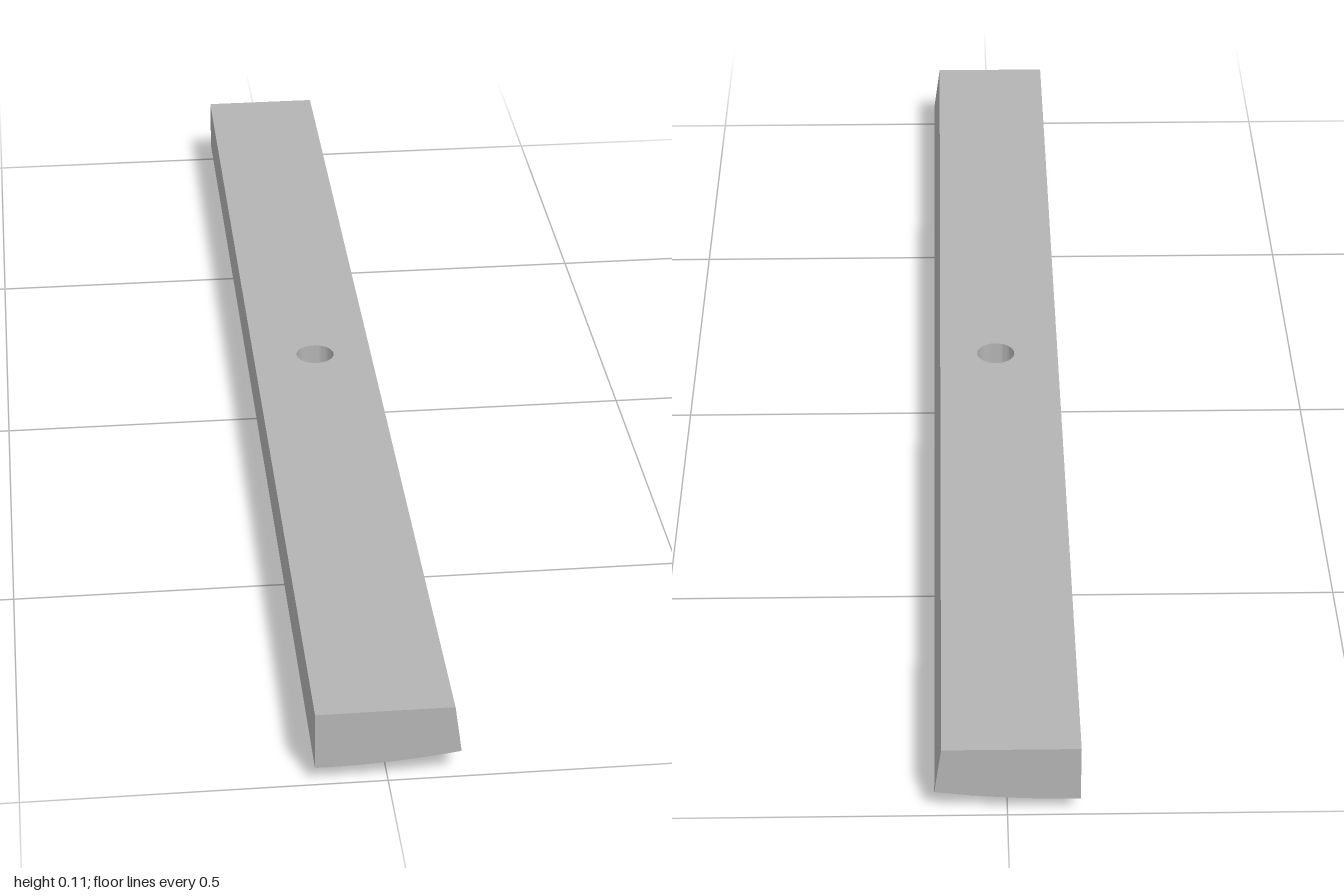
import * as THREE from 'three';
import { toCreasedNormals } from 'three/addons/utils/BufferGeometryUtils.js';

const TOP = 0.115, PAD = 0.028, HOLE_R = 0.03, MID = 0.06;

// height of the gently curved underside
const under = (x) => 0.028 + 0.014 * ((x + 0.09) / 0.19) ** 2;

// extrude a plan outline (x, z) downwards, then place its two faces by a rule
function plate(shape, place) {
  const geo = new THREE.ExtrudeGeometry(shape, { depth: 1, bevelEnabled: false, curveSegments: 20 });
  geo.rotateX(Math.PI / 2);
  const p = geo.attributes.position;
  for (let i = 0; i < p.count; i++) {
    const [x, y] = place(p.getX(i), p.getY(i) < -0.5);
    p.setX(i, x);
    p.setY(i, y);
  }
  geo.computeVertexNormals();
  return toCreasedNormals(geo, 0.5);
}

const rect = (x0, x1, z0, z1) => new THREE.Shape([
  new THREE.Vector2(x0, z0), new THREE.Vector2(x1, z0),
  new THREE.Vector2(x1, z1), new THREE.Vector2(x0, z1)]);

// pads follow the curve of the underside
const padRule = (x, low) => [x, under(x) + (low ? -PAD : 0.004)];

export function createModel() {
  const group = new THREE.Group();
  const grey = new THREE.MeshStandardMaterial({ color: 0xb4b4b4 });
  grey.name = 'plain grey';
  const add = (name, geo) => {
    const mesh = new THREE.Mesh(geo, grey);
    mesh.name = name;
    group.add(mesh);
  };

  const xs = Array.from({ length: 13 }, (_, i) => -0.1 + 0.2 * i / 12);

  // long bar halves, sharing one cross-section
  const profile = new THREE.Shape([
    ...xs.map((x) => new THREE.Vector2(x, under(x))),
    new THREE.Vector2(0.09, TOP), new THREE.Vector2(-0.1, TOP)]);
  for (const [name, z] of [['frontBar', MID], ['backBar', -1]]) {
    const geo = new THREE.ExtrudeGeometry(profile, { depth: 1 - MID, bevelEnabled: false });
    geo.translate(0, 0, z);
    add(name, toCreasedNormals(geo, 0.5));
  }

  // middle of the bar, with the vertical through hole
  const middle = new THREE.Shape([
    ...xs.map((x) => new THREE.Vector2(x, -MID)),
    ...[...xs].reverse().map((x) => new THREE.Vector2(x, MID))]);
  middle.holes.push(new THREE.Path().absarc(0, 0, HOLE_R, 0, Math.PI * 2, true));
  add('drilledMiddle', plate(middle, (x, low) => low
    ? [x, under(x)]
    : [x - 0.01 * Math.max(0, (x - 0.03) / 0.07), TOP]));

  // half-round pads: a straight rib with a rounded nose
  const noses = [
    [0.305, 0.433, 0.355], [0.053, 0.16, 0.1], [-0.417, -0.34, -0.379],
    [-0.668, -0.567, -0.622], [-0.943, -0.84, -0.895]];
  for (const [z0, z1, zc] of noses) {
    const r = Math.min(0.045, zc - z0, z1 - zc);
    const s = new THREE.Shape();
    s.moveTo(0.005, z0);
    s.lineTo(0.005, z1);
    s.lineTo(-0.02, z1);
    s.lineTo(-0.02, zc + r);
    s.absellipse(-0.02, zc, 0.067, r, Math.PI / 2, Math.PI * 1.5, false);
    s.lineTo(-0.02, z0);
    add('halfRoundPad', plate(s, padRule));
  }

  // plain block pad
  add('blockPad', plate(rect(-0.087, 0.005, -0.166, -0.09), padRule));

  // round collar
  const collar = new THREE.Shape().absarc(-0.048, 0.622, 0.039, 0, Math.PI * 2, false);
  collar.holes.push(new THREE.Path().absarc(-0.048, 0.622, 0.025, 0, Math.PI * 2, true));
  add('collar', plate(collar, padRule));

  // pair of small pegs
  for (const z of [0.855, 0.888]) add('peg', plate(rect(-0.087, -0.07, z - 0.006, z + 0.006), padRule));

  return group;
}
